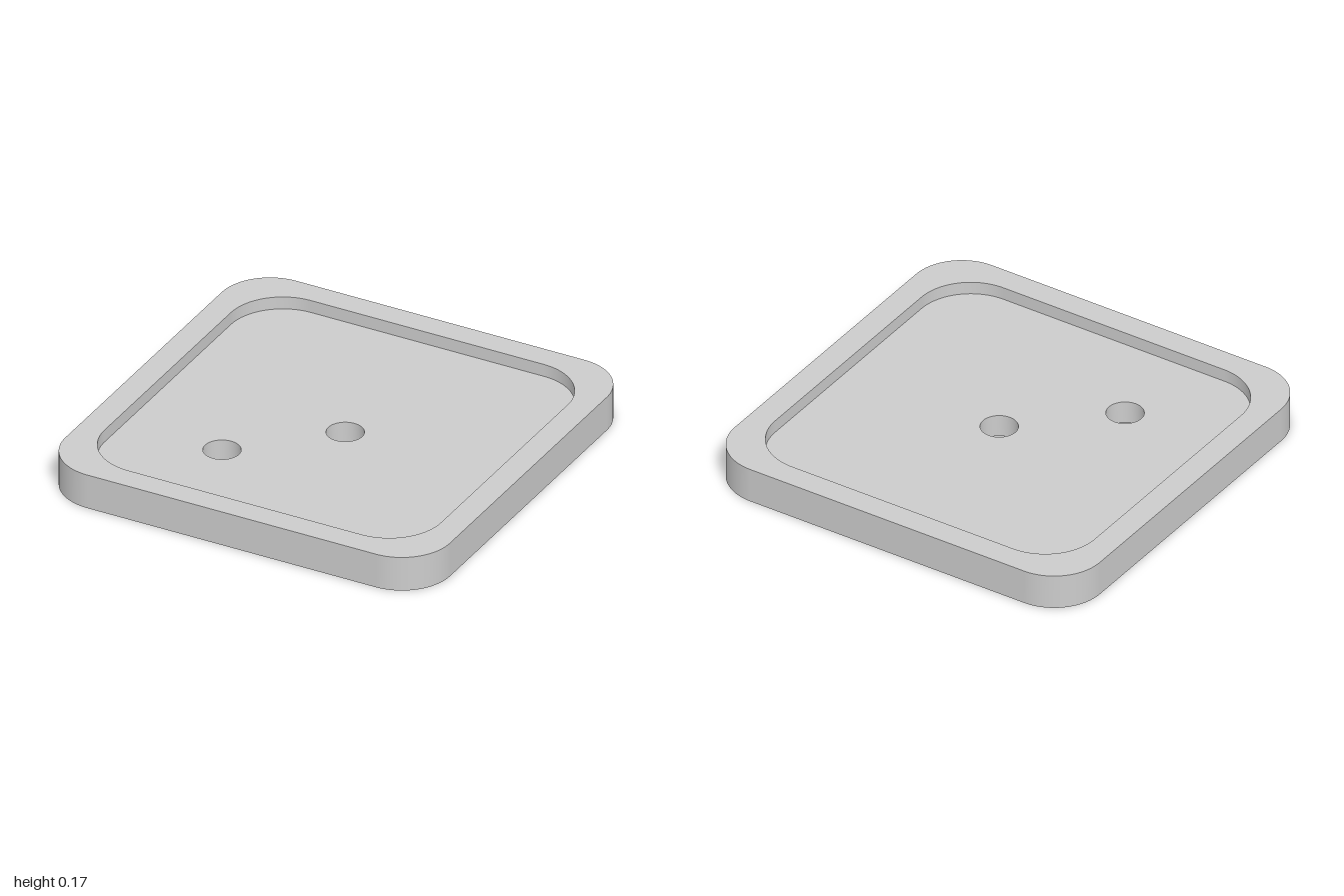
import * as THREE from 'three';

const HEIGHT = 0.175, FLOOR = 0.112, HOLE_R = 0.088;

// Counter-clockwise outlines in plan, with shape y pointing to -z
function roundedSquare(half, r) {
  const s = new THREE.Shape();
  const c = half - r;
  [[c, c], [-c, c], [-c, -c], [c, -c]].forEach(([x, y], i) =>
    s.absarc(x, y, r, i * Math.PI / 2, (i + 1) * Math.PI / 2, false));
  s.closePath();
  return s;
}

function circle(x, z, from = 0, to = Math.PI * 2) {
  const s = new THREE.Shape();
  s.absarc(x, -z, HOLE_R, from, to, false);
  return s;
}

// Horizontal face at height y
function face(outline, holes, y) {
  const s = new THREE.Shape(outline.getPoints(24));
  s.holes = holes.map(h => new THREE.Path(h.getPoints(24)));
  return new THREE.ShapeGeometry(s).rotateX(-Math.PI / 2).translate(0, y, 0);
}

// Smooth vertical wall along an outline, facing outward or inward
function wall(outline, y0, y1, inward = false) {
  const pts = outline.getPoints(24);
  if (pts[0].distanceTo(pts[pts.length - 1]) < 1e-6) pts.pop();
  const n = pts.length, pos = [], idx = [];
  pts.forEach((p, i) => {
    pos.push(p.x, y0, -p.y, p.x, y1, -p.y);
    const a = 2 * i, b = 2 * ((i + 1) % n);
    if (inward) idx.push(a, b + 1, b, a, a + 1, b + 1);
    else idx.push(a, b, b + 1, a, b + 1, a + 1);
  });
  const g = new THREE.BufferGeometry();
  g.setAttribute('position', new THREE.Float32BufferAttribute(pos, 3));
  g.setIndex(idx);
  g.computeVertexNormals();
  return g;
}

export function createModel() {
  const group = new THREE.Group();
  group.name = 'tray';
  const material = new THREE.MeshStandardMaterial({ color: 0xcccccc, side: THREE.DoubleSide });
  const add = (name, geometry) => {
    const mesh = new THREE.Mesh(geometry, material);
    mesh.name = name;
    group.add(mesh);
  };

  const outer = roundedSquare(1, 0.25);
  const pocket = roundedSquare(0.875, 0.27);
  const centreHole = circle(0.048, 0);
  const cornerHole = circle(-0.37, 0.41);
  // Small opening through the base: a quarter of the circle cut off by its chord
  const baseSlot = circle(0.048, 0, -Math.PI / 2, 0);

  // Body shell and raised rim
  add('outerWall', wall(outer, 0, HEIGHT));
  add('rimTop', face(outer, [pocket], HEIGHT));

  // Recess
  add('recessWall', wall(pocket, FLOOR, HEIGHT, true));
  add('recessFloor', face(pocket, [centreHole, cornerHole], FLOOR));

  // Round holes sunk down to the base
  add('centreHoleWall', wall(centreHole, 0, FLOOR, true));
  add('cornerHoleWall', wall(cornerHole, 0, FLOOR, true));

  // Underside, which also closes the holes; turned to face down
  const base = face(outer, [baseSlot], 0);
  base.index.array.reverse();
  base.computeVertexNormals();
  add('base', base);

  return group;
}
